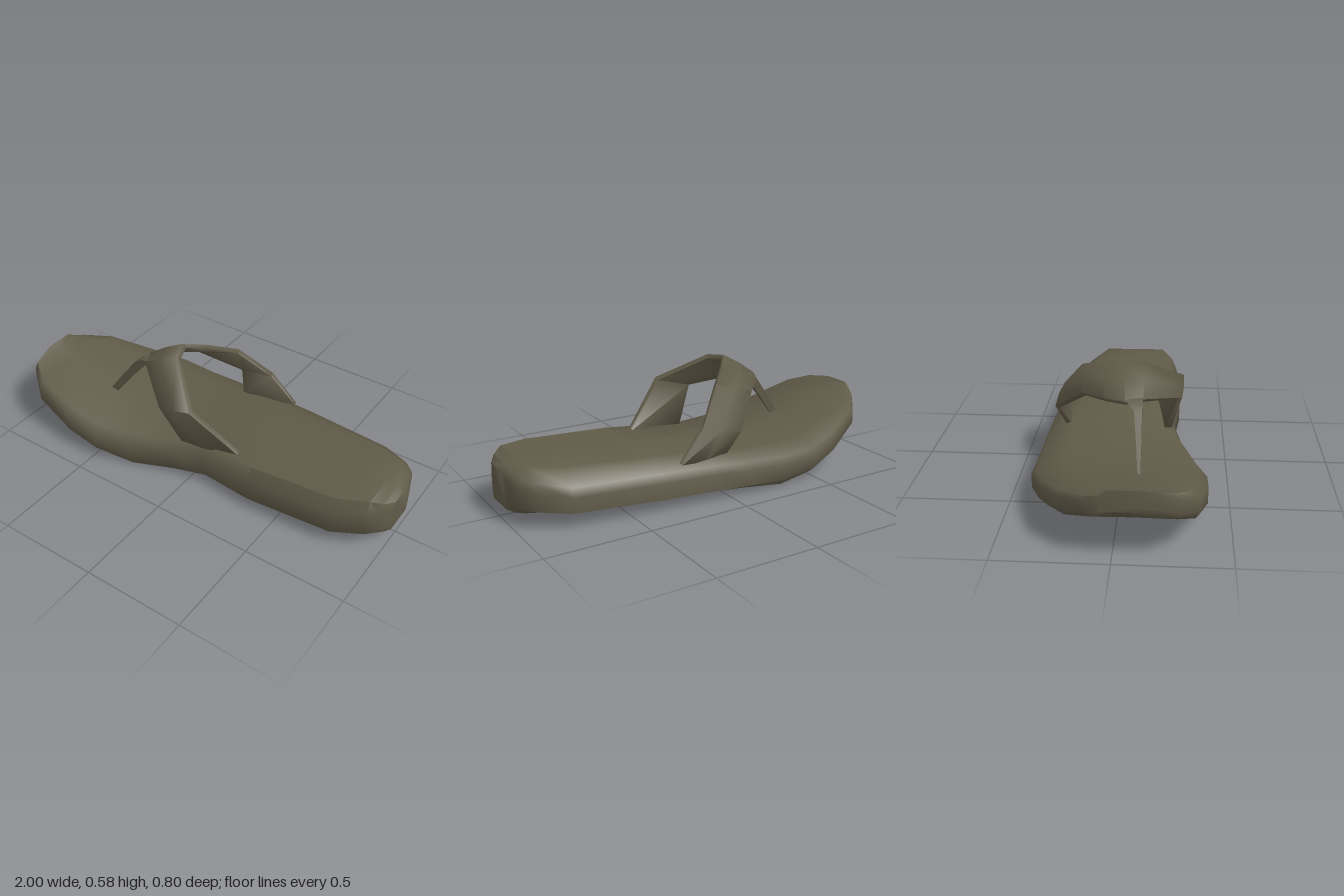
import * as THREE from 'three';
import { toCreasedNormals } from 'three/addons/utils/BufferGeometryUtils.js';

// Skins a list of equal-length rings of [x, y, z] points and caps both ends.
function loft(rings, crease) {
  const n = rings[0].length, last = (rings.length - 1) * n, index = [];
  for (let i = 0; i < rings.length - 1; i++) {
    for (let j = 0; j < n; j++) {
      const a = i * n + j, b = i * n + (j + 1) % n;
      index.push(a, a + n, b, b, a + n, b + n);
    }
  }
  for (let j = 1; j < n - 1; j++) {
    index.push(0, j, j + 1, last, last + j + 1, last + j);
  }
  const geometry = new THREE.BufferGeometry();
  geometry.setAttribute('position', new THREE.Float32BufferAttribute(rings.flat(2), 3));
  geometry.setIndex(index);
  return toCreasedNormals(geometry, crease);
}

function soleGeometry() {
  // x, back z, front z, top y, bottom y, drop of the bevelled back edge,
  // then how far the flat underside reaches to the back and to the front
  const stations = [
    [-1, -0.05, 0.14, 0.335, 0.24, 0.025, 0.9, 0.9],
    [-0.97, -0.11, 0.28, 0.315, 0.2, 0.02, 0.9, 0.9],
    [-0.87, -0.23, 0.36, 0.285, 0.15, 0.025, 0.9, 0.92],
    [-0.65, -0.34, 0.395, 0.22, 0.07, 0.025, 0.9, 0.92],
    [-0.48, -0.4, 0.395, 0.187, 0.03, 0.025, 0.9, 0.92],
    [-0.3, -0.4, 0.34, 0.178, 0, 0.025, 0.9, 0.95],
    [-0.1, -0.395, 0.275, 0.19, 0.004, 0.03, 0.75, 0.9],
    [0.08, -0.385, 0.235, 0.215, 0.008, 0.04, 0.62, 0.85],
    [0.35, -0.365, 0.265, 0.235, 0.012, 0.05, 0.5, 0.7],
    [0.78, -0.32, 0.245, 0.26, 0.025, 0.065, 0.4, 0.65],
    [0.92, -0.24, 0.18, 0.27, 0.035, 0.05, 0.4, 0.65],
    [0.97, -0.19, 0.13, 0.25, 0.05, 0.03, 0.5, 0.7],
    [1, -0.1, 0.07, 0.235, 0.065, 0.01, 0.9, 0.9],
  ];
  return loft(stations.map(([x, back, front, top, bottom, drop, underBack, underFront]) => {
    // Across (-1 back, 1 front), up (0 bottom, 1 top), share of the back-edge drop
    const profile = [
      [-underBack, 0, 0], [0, 0.02, 0], [underFront, 0, 0], [1, 0.22, 0], [1, 0.72, 0],
      [0.9, 1, 0], [0, 1, 0], [-0.62, 0.99, 0], [-0.95, 0.98, 1], [-1, 0.8, 1], [-1, 0.22, 0],
    ];
    return profile.map(([u, v, k]) => [
      x,
      bottom + v * (top - bottom) - k * drop,
      (back + front) / 2 + u * (front - back) / 2,
    ]);
  }), 1.1);
}

function strapGeometry() {
  // Toe-side edge, heel-side edge and thickness, from the front foot to the back foot
  const sections = [
    [[-0.05, 0.18, 0.225], [0.25, 0.215, 0.185], 0.035],
    [[-0.15, 0.39, 0.275], [0.03, 0.44, 0.282], 0.035],
    [[-0.37, 0.465, 0.1], [-0.17, 0.573, 0.1], 0.025],
    [[-0.4, 0.465, 0.02], [-0.2, 0.585, 0], 0.025],
    [[-0.35, 0.46, -0.08], [-0.13, 0.555, -0.09], 0.025],
    [[-0.24, 0.44, -0.19], [-0.02, 0.505, -0.21], 0.025],
    [[-0.07, 0.3, -0.342], [0.12, 0.35, -0.32], 0.022],
    [[-0.02, 0.17, -0.285], [0.25, 0.2, -0.345], 0.022],
  ].map(([a, b, t]) => [new THREE.Vector3(...a), new THREE.Vector3(...b), t]);
  const middles = sections.map(([a, b]) => a.clone().lerp(b, 0.5));
  const rings = sections.map(([a, b, thickness], i) => {
    const tangent = middles[Math.min(i + 1, middles.length - 1)].clone()
      .sub(middles[Math.max(i - 1, 0)]);
    const out = b.clone().sub(a).cross(tangent).normalize();
    const at = (p, d) => p.clone().addScaledVector(out, d).toArray();
    return [at(b, 0), at(middles[i], 0.006), at(a, 0), at(a, -thickness), at(b, -thickness)];
  });
  return loft(rings, 1.65);
}

function toePostGeometry() {
  // Centre x, y, z, half-width in x, half-width in z
  const stations = [
    [-0.36, 0.47, 0.06, 0.03, 0.04],
    [-0.41, 0.435, 0.08, 0.03, 0.018],
    [-0.5, 0.325, 0.088, 0.024, 0.012],
    [-0.6, 0.19, 0.095, 0.022, 0.005],
  ];
  return loft(stations.map(([x, y, z, w, d]) =>
    [[1, 1], [1, -1], [-1, -1], [-1, 1]].map(([u, v]) => [x + u * w, y, z + v * d])), 0.7);
}

export function createModel() {
  const group = new THREE.Group();
  group.name = 'sandal';
  const rubber = new THREE.MeshStandardMaterial({ color: 0x605a48, side: THREE.DoubleSide });
  rubber.name = 'olive rubber';
  const parts = { sole: soleGeometry(), strap: strapGeometry(), toePost: toePostGeometry() };
  for (const [name, geometry] of Object.entries(parts)) {
    const mesh = new THREE.Mesh(geometry, rubber);
    mesh.name = name;
    group.add(mesh);
  }
  return group;
}
